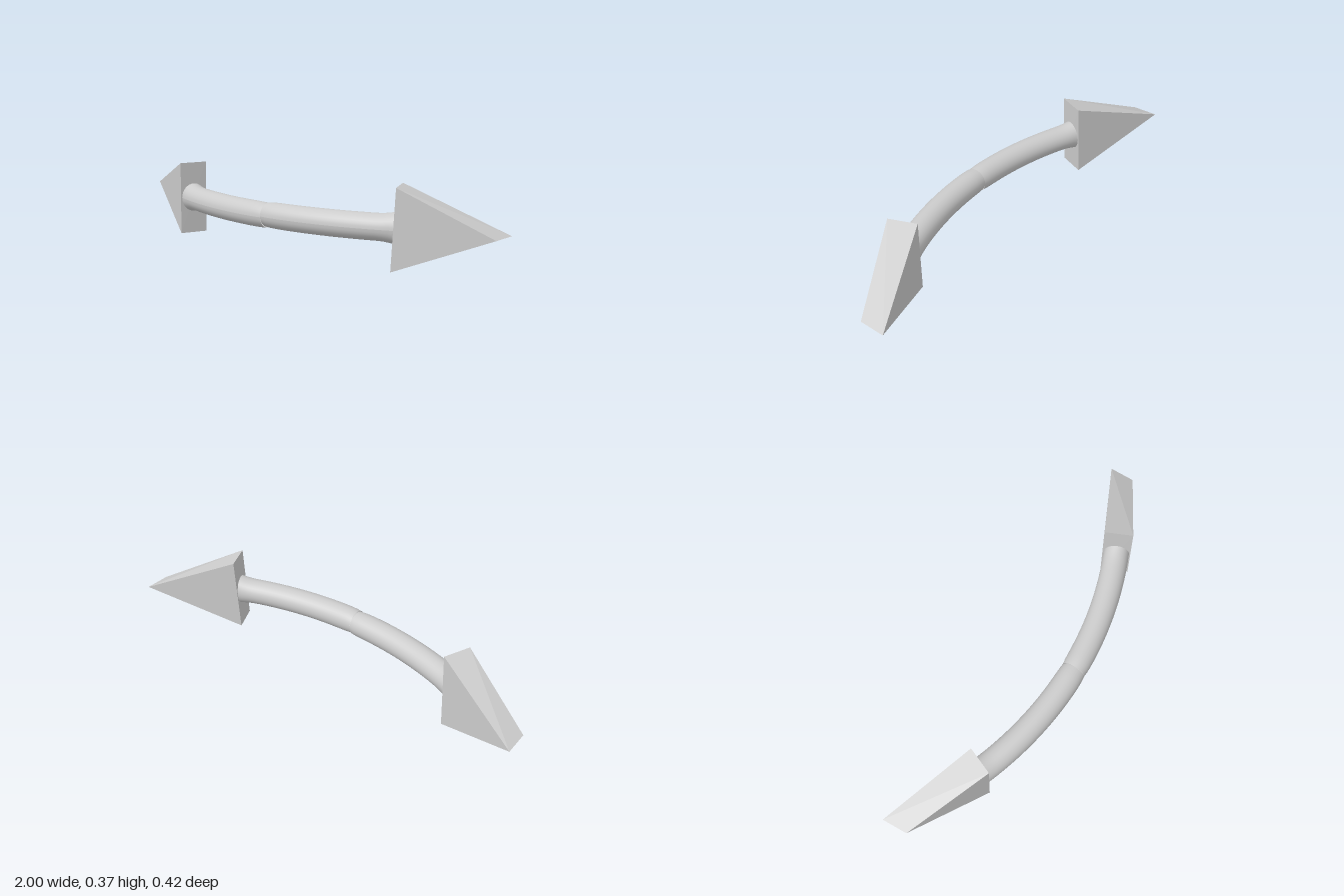
import * as THREE from 'three';

const material = new THREE.MeshStandardMaterial({ color: 0xcccccc });

// Half of the bent shaft: rings swept along an arc, flaring in height at the head
function shaftGeometry() {
  const R = 1.62, endAngle = Math.asin(0.607 / R), rings = 24, sides = 32;
  const positions = [], index = [];
  for (let i = 0; i <= rings; i++) {
    const t = i / rings, a = endAngle * t;
    const pinch = 0.004 * Math.exp(-t * 25);
    const flare = 0.011 * Math.max(0, (t - 0.86) / 0.14) ** 2;
    const depth = 0.06 - pinch, height = 0.058 - pinch + flare;
    for (let j = 0; j <= sides; j++) {
      const b = (j / sides) * Math.PI * 2;
      const r = R + depth * Math.cos(b);
      positions.push(r * Math.sin(a), 0.1905 + 0.007 * t + height * Math.sin(b), 0.151 - R + r * Math.cos(a));
    }
  }
  const row = sides + 1;
  for (let i = 0; i < rings; i++) {
    for (let j = 0; j < sides; j++) {
      const p = i * row + j, q = p + row;
      index.push(p, q, p + 1, q, q + 1, p + 1);
    }
  }
  const geometry = new THREE.BufferGeometry();
  geometry.setAttribute('position', new THREE.Float32BufferAttribute(positions, 3));
  geometry.setIndex(index);
  geometry.computeVertexNormals();
  return geometry;
}

// Slightly skewed triangular prism: front triangle, then back triangle
function headGeometry() {
  const corners = [
    0.638, 0.376, 0.09, 0.624, 0.025, 0.099, 0.997, 0.18, -0.092,
    0.588, 0.376, -0.031, 0.572, 0.025, -0.022, 1, 0.18, -0.211,
  ];
  const faces = [
    0, 1, 2, 3, 5, 4,
    0, 2, 5, 0, 5, 3, // upper slope
    1, 4, 5, 1, 5, 2, // lower slope
    0, 3, 4, 0, 4, 1, // base
  ];
  const indexed = new THREE.BufferGeometry();
  indexed.setAttribute('position', new THREE.Float32BufferAttribute(corners, 3));
  indexed.setIndex(faces);
  const geometry = indexed.toNonIndexed();
  geometry.computeVertexNormals();
  return geometry;
}

export function createModel() {
  const model = new THREE.Group();
  model.name = 'doubleArrow';
  const shaft = shaftGeometry(), head = headGeometry();
  const shaftMaterial = material.clone();
  shaftMaterial.side = THREE.DoubleSide;

  // The second arrow is the first one turned half a circle about z
  for (const side of ['left', 'right']) {
    const arrow = new THREE.Group();
    arrow.name = side + 'Arrow';
    const shaftMesh = new THREE.Mesh(shaft, shaftMaterial);
    shaftMesh.name = side + 'Shaft';
    const headMesh = new THREE.Mesh(head, material);
    headMesh.name = side + 'Head';
    arrow.add(shaftMesh, headMesh);
    if (side === 'right') {
      arrow.rotation.z = Math.PI;
      arrow.position.y = 0.377;
    }
    model.add(arrow);
  }
  return model;
}
